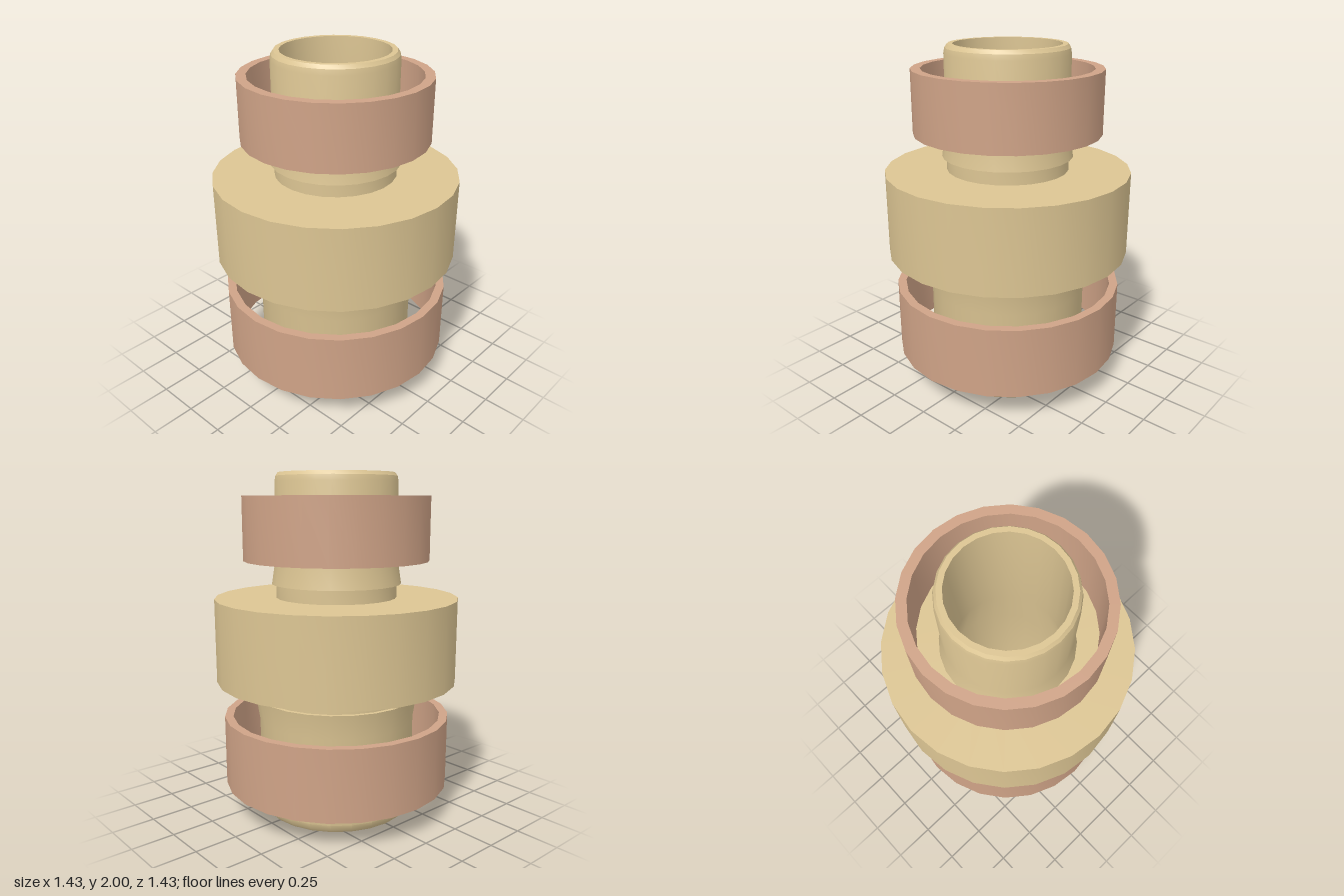
import * as THREE from 'three';
import { toCreasedNormals } from 'three/addons/utils/BufferGeometryUtils.js';

const SIDES = 24;

// Closed ring turned from a [radius, height] outline: up the outside, down the inside
function turned(name, outline, material) {
  const points = [...outline, outline[0]].map(([r, y]) => new THREE.Vector2(r, y));
  const mesh = new THREE.Mesh(toCreasedNormals(new THREE.LatheGeometry(points, SIDES), 0.4), material);
  mesh.name = name;
  return mesh;
}

function sleeve(name, inner, outer, bottom, top, material) {
  return turned(name, [[inner, bottom], [outer, bottom], [outer, top], [inner, top]], material);
}

export function createModel() {
  const brass = new THREE.MeshStandardMaterial({ color: 0xdcc593 });
  const copper = new THREE.MeshStandardMaterial({ color: 0xcfa387 });
  const group = new THREE.Group();
  group.name = 'reducingCoupling';

  // Hollow body: wide lower spigot, central collar, narrow upper spigot
  group.add(turned('couplingBody', [
    [0.41, 0], [0.44, 0], [0.455, 0.02], [0.465, 0.05],
    // lower barb
    [0.465, 0.56], [0.488, 0.705], [0.465, 0.705],
    // collar
    [0.465, 0.8], [0.713, 0.8], [0.713, 1.29], [0.355, 1.29],
    // upper barb
    [0.355, 1.37], [0.38, 1.37], [0.355, 1.53],
    // rounded upper rim
    [0.355, 1.95], [0.349, 1.98], [0.335, 2],
    // bore, narrowing inside the collar
    [0.305, 2], [0.305, 1.29], [0.41, 0.8],
  ], brass));

  // Loose clamping sleeves around the spigots
  group.add(sleeve('lowerSleeve', 0.625, 0.675, 0.17, 0.585, copper));
  group.add(sleeve('upperSleeve', 0.487, 0.542, 1.505, 1.87, copper));

  return group;
}
